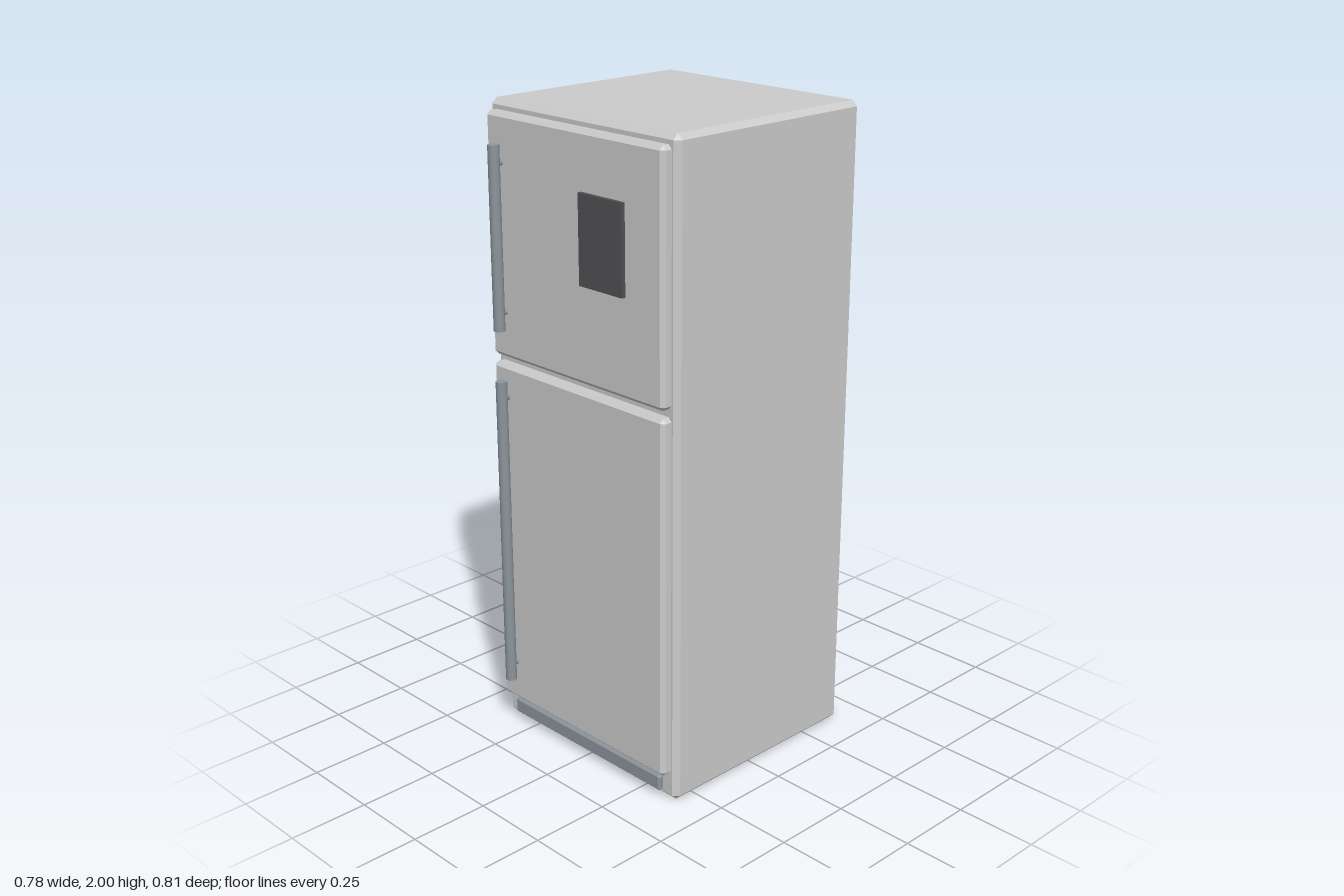
import * as THREE from 'three';
import { ConvexGeometry } from 'three/addons/geometries/ConvexGeometry.js';

// Box with every edge chamfered by c, given as [min, max] per axis
function chamferBox(xs, ys, zs, c) {
  const size = [xs, ys, zs].map(([a, b]) => (b - a) / 2);
  const points = [];
  for (const sx of [-1, 1]) for (const sy of [-1, 1]) for (const sz of [-1, 1]) {
    for (let axis = 0; axis < 3; axis++) {
      const p = size.map((h, i) => (i === axis ? h : h - c));
      points.push(new THREE.Vector3(sx * p[0], sy * p[1], sz * p[2]));
    }
  }
  const geometry = new ConvexGeometry(points);
  geometry.translate((xs[0] + xs[1]) / 2, (ys[0] + ys[1]) / 2, (zs[0] + zs[1]) / 2);
  return geometry;
}

export function createModel() {
  const model = new THREE.Group();
  model.name = 'refrigerator';
  const grey = new THREE.MeshStandardMaterial({ color: 0xcccccc });
  const metal = new THREE.MeshStandardMaterial({ color: 0x8c959c });
  const dark = new THREE.MeshStandardMaterial({ color: 0x525256 });

  function add(name, geometry, material, parent = model) {
    const mesh = new THREE.Mesh(geometry, material);
    mesh.name = name;
    parent.add(mesh);
    return mesh;
  }

  // Cabinet and the two doors
  add('cabinet', chamferBox([-0.388, 0.388], [0, 2], [-0.404, 0.328], 0.017), grey);
  add('freezerDoor', chamferBox([-0.366, 0.366], [1.238, 1.97], [0.312, 0.361], 0.012), grey);
  add('fridgeDoor', chamferBox([-0.366, 0.366], [0.088, 1.215], [0.312, 0.361], 0.012), grey);

  // Kick plate under the lower door
  add('kickPlate', chamferBox([-0.333, 0.333], [0.022, 0.074], [0.313, 0.345], 0.006), metal);

  // Dark panel on the freezer door
  const panel = add('displayPanel', new THREE.BoxGeometry(0.175, 0.265, 0.02), dark);
  panel.position.set(0.132, 1.667, 0.364);

  // Bar handles, each held by two short posts
  function addHandle(name, bottom, top) {
    const handle = new THREE.Group();
    handle.name = name;
    handle.position.set(-0.302, 0, 0.385);
    model.add(handle);
    const bar = add('handleBar', new THREE.CylinderGeometry(0.0175, 0.0175, top - bottom, 16), metal, handle);
    bar.position.y = (bottom + top) / 2;
    for (const y of [bottom + 0.054, top - 0.054]) {
      const post = add('handlePost', new THREE.CylinderGeometry(0.01, 0.01, 0.036, 12), metal, handle);
      post.rotation.x = Math.PI / 2;
      post.position.set(0, y, -0.018);
    }
  }
  addHandle('freezerHandle', 1.328, 1.882);
  addHandle('fridgeHandle', 0.17, 1.17);

  return model;
}
